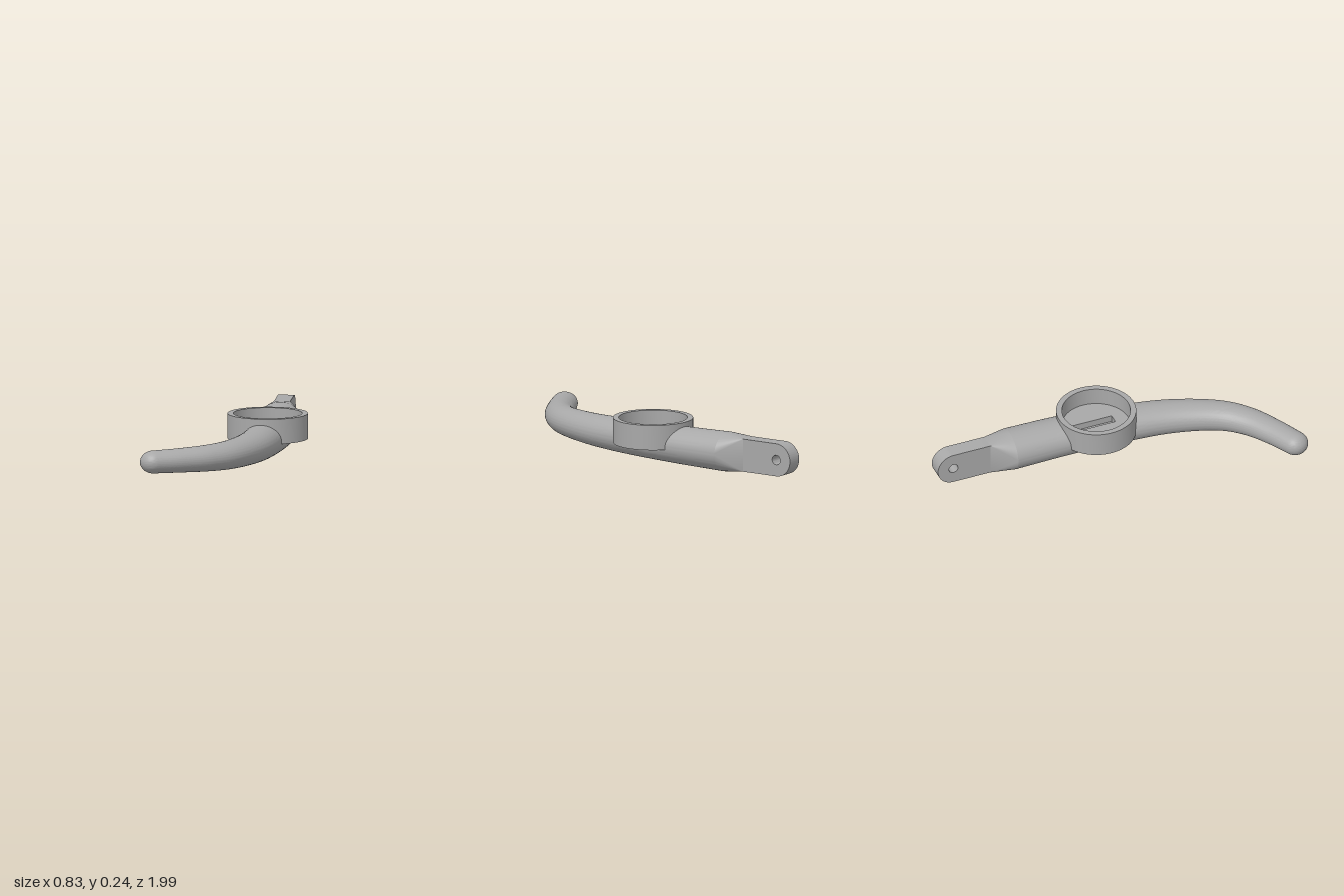
import * as THREE from 'three';
import { toCreasedNormals } from 'three/addons/utils/BufferGeometryUtils.js';

const CUP = { x: 0.195, z: -0.04, outer: 0.222, inner: 0.19, bottom: 0.1, floor: 0.14, top: 0.24 };
const TANG = { x: 0.21, y: 0.112, halfW: 0.045, halfH: 0.092, z: -0.685, eye: -0.906 };
const QUAD = 20; // steps in each quarter of a cross-section

// Extrude a shape with creased normals
function extrude(shape, depth) {
  return toCreasedNormals(
    new THREE.ExtrudeGeometry(shape, { depth, bevelEnabled: false, curveSegments: 40 }), 0.6);
}

function disc(radius) {
  return new THREE.Shape().absarc(0, 0, radius, 0, Math.PI * 2, false);
}

// Cross-section in four quarters; boxy sections collapse each quarter to a corner
function ring(center, tangent, rx, ry, boxy = false) {
  const side = new THREE.Vector3(tangent.z, 0, -tangent.x).normalize();
  const points = [];
  for (let q = 0; q < 4; q++) {
    for (let k = 0; k <= QUAD; k++) {
      const a = (q + (boxy ? 0.5 : k / QUAD)) * Math.PI / 2;
      const s = boxy ? Math.SQRT2 : 1;
      const p = center.clone().addScaledVector(side, rx * s * Math.cos(a));
      p.y += ry * s * Math.sin(a);
      // Hollow the arm out where the cup sits in it
      if (Math.hypot(p.x - CUP.x, p.z - CUP.z) < 0.206) p.y = Math.min(p.y, CUP.bottom + 0.002);
      points.push(p);
    }
  }
  return points;
}

// Skin a list of equal-length rings
function loft(rings) {
  const n = rings[0].length, index = [];
  for (let i = 0; i < rings.length - 1; i++) {
    for (let j = 0; j < n; j++) {
      const a = i * n + j, b = i * n + (j + 1) % n;
      index.push(a, b, a + n, b, b + n, a + n);
    }
  }
  const g = new THREE.BufferGeometry().setFromPoints(rings.flat());
  g.setIndex(index);
  return toCreasedNormals(g, 0.45);
}

function armRings() {
  // centre x, z and the half width and half height along the arm
  const stations = [
    [0.212, -0.55, 0.127, 0.11], [0.209, -0.2, 0.123, 0.103], [0.181, 0.15, 0.111, 0.096],
    [0.137, 0.4, 0.103, 0.087], [0.05, 0.625, 0.092, 0.079], [-0.06, 0.757, 0.084, 0.073],
    [-0.2, 0.85, 0.077, 0.067], [-0.345, 0.924, 0.073, 0.063],
  ];
  const path = new THREE.CatmullRomCurve3(
    stations.map(s => new THREE.Vector3(s[0], 0.111, s[1])), false, 'catmullrom');
  const sizes = new THREE.CatmullRomCurve3(
    stations.map(s => new THREE.Vector3(s[2], s[3], 0)), false, 'catmullrom');
  const rings = [];
  const steps = (stations.length - 1) * 24;
  for (let i = 0; i <= steps; i++) {
    const t = i / steps, r = sizes.getPoint(t);
    rings.push(ring(path.getPoint(t), path.getTangent(t), r.x, r.y));
  }
  // Rounded tip
  const end = path.getPoint(1), dir = path.getTangent(1);
  for (let i = 1; i <= 12; i++) {
    const a = i / 12 * Math.PI / 2, c = Math.cos(a);
    const p = end.clone().addScaledVector(dir, 0.073 * Math.sin(a));
    rings.push(ring(p, dir, 0.073 * c, 0.063 * c));
  }
  return rings;
}

export function createModel() {
  const grey = new THREE.MeshStandardMaterial({ color: 0xa8a8a8 });
  grey.name = 'grey';
  const model = new THREE.Group();
  model.name = 'lever';
  const add = (name, geometry) => {
    const mesh = new THREE.Mesh(geometry, grey);
    mesh.name = name;
    model.add(mesh);
    return mesh;
  };

  // Curved handle, and the transition from round to rectangular
  const rings = armRings();
  add('curvedArm', loft(rings));
  const neckEnd = new THREE.Vector3(TANG.x, TANG.y, TANG.z);
  const forward = new THREE.Vector3(0, 0, 1);
  add('neck', loft([ring(neckEnd, forward, TANG.halfW, TANG.halfH, true), rings[0]]));

  // Flat tang with a round end and a pin hole
  const tang = new THREE.Shape();
  tang.moveTo(TANG.z, TANG.y - TANG.halfH);
  tang.lineTo(TANG.z, TANG.y + TANG.halfH);
  tang.lineTo(TANG.eye, TANG.y + TANG.halfH);
  tang.absarc(TANG.eye, TANG.y, TANG.halfH, Math.PI / 2, Math.PI * 1.5, false);
  tang.closePath();
  tang.holes.push(new THREE.Path().absarc(TANG.eye, TANG.y, 0.027, 0, Math.PI * 2, true));
  add('tang', extrude(tang, TANG.halfW * 2).rotateY(-Math.PI / 2).translate(TANG.x + TANG.halfW, 0, 0));

  // Cup wall
  const wall = disc(CUP.outer);
  wall.holes.push(new THREE.Path().absarc(0, 0, CUP.inner, 0, Math.PI * 2, true));
  add('cupWall', extrude(wall, CUP.top - CUP.bottom).rotateX(-Math.PI / 2))
    .position.set(CUP.x, CUP.bottom, CUP.z);

  // Cup floor with a long slot
  const floor = disc(0.2);
  const slot = new THREE.Path();
  slot.moveTo(-0.015, 0.192);
  slot.lineTo(0.04, 0.192);
  slot.lineTo(0.04, -0.11);
  slot.lineTo(-0.015, -0.11);
  slot.closePath();
  floor.holes.push(slot);
  add('cupFloor', extrude(floor, CUP.floor - CUP.bottom).rotateX(-Math.PI / 2))
    .position.set(CUP.x, CUP.bottom, CUP.z);

  return model;
}
